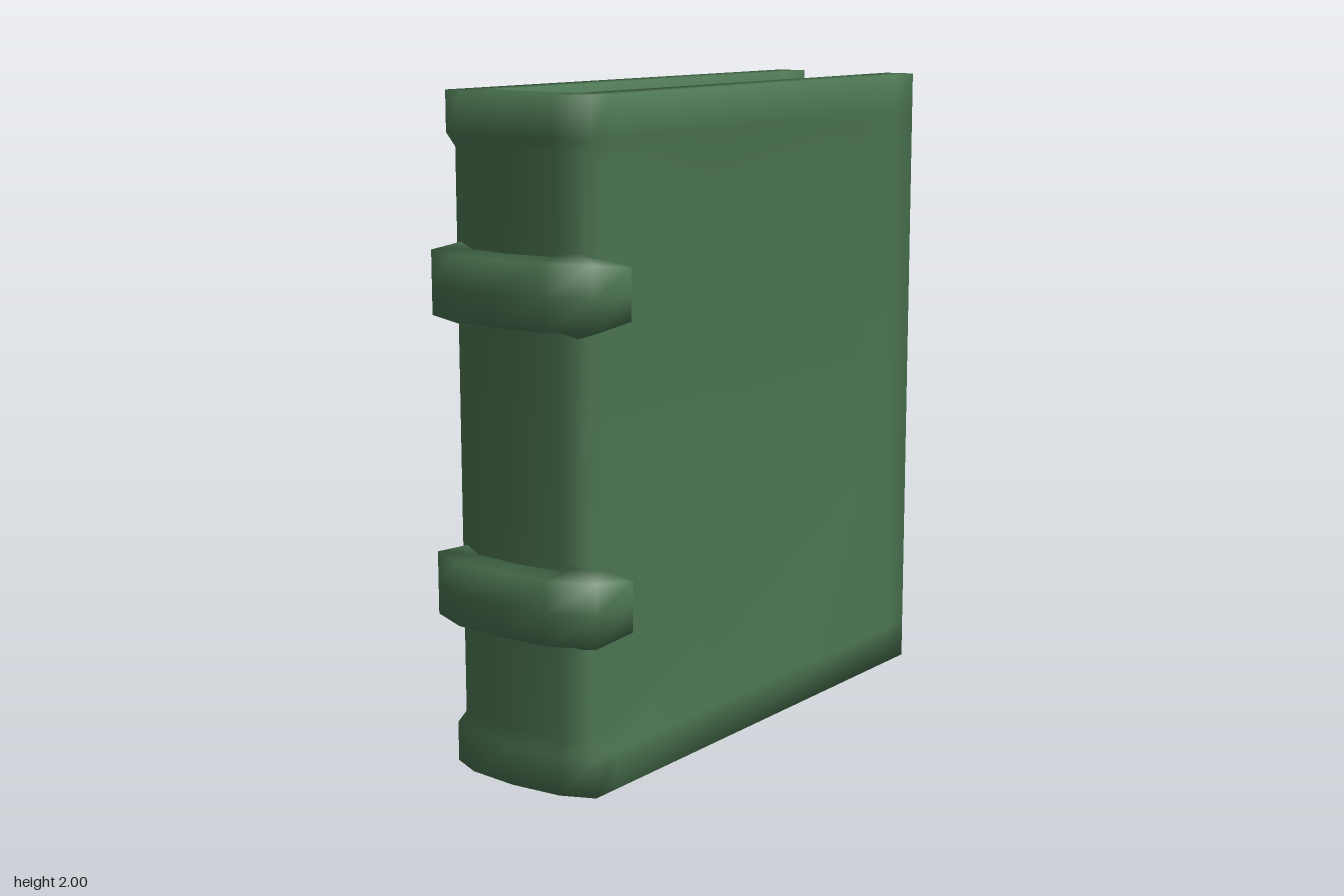
import * as THREE from 'three';

// Skin a row of closed rings; ends are closed by pairing ring points k and n-1-k.
function loft(rings) {
  const n = rings[0].length, last = (rings.length - 1) * n, index = [];
  for (let c = 0; c < rings.length - 1; c++) {
    for (let k = 0; k < n; k++) {
      const a = c * n + k, b = c * n + (k + 1) % n;
      index.push(a, b, a + n, b, b + n, a + n);
    }
  }
  for (let k = 0; k < Math.floor(n / 2); k++) {
    const p = k, q = k + 1, r = n - 1 - k, s = n - 2 - k;
    if (s < q) continue;
    index.push(p, r, q, last + p, last + q, last + r);
    if (s > q) index.push(q, r, s, last + q, last + s, last + r);
  }
  const g = new THREE.BufferGeometry();
  g.setAttribute('position', new THREE.Float32BufferAttribute(rings.flat(2), 3));
  g.setIndex(index);
  g.computeVertexNormals();
  return g;
}

// Continue half of the rings, ending at z = 0, round to the back.
function mirrorRings(half) {
  const back = half.slice(0, -1).reverse().map(r => r.map(([x, y, z]) => [x, y, -z]));
  return half.concat(back);
}

// Covers and spine in one U-shaped shell with dented faces and a lipped spine.
function coverGeometry() {
  // outer x, z | inner x, z | dent in x, z | height where the dent is reached
  const columns = [
    [0.895, 0.265, 0.895, 0.163, 0, 0, 0.6],
    [0.79, 0.265, 0.79, 0.163, 0, 0.013, 0.6],
    [0.62, 0.265, 0.62, 0.163, 0, 0.035, 0.63],
    [-0.2, 0.265, -0.2, 0.163, 0, 0.035, 0.36],
    [-0.7, 0.265, -0.65, 0.163, 0, 0.033, 0.19],
    [-0.795, 0.265, -0.72, 0.163, 0.005, 0.03, 0.16],
    [-0.84, 0.165, -0.72, 0.1, 0.028, 0.01, 0.16],
    [-0.855, 0, -0.72, 0, 0.035, 0, 0.16],
  ];
  return loft(mirrorRings(columns.map(([ox, oz, ix, iz, dx, dz, b]) => {
    const ys = [0, 0.12, b, 1, 2 - b, 1.88, 2];
    const outer = ys.map((y, i) => {
      const d = i > 1 && i < 5 ? 1 : 0;
      return [ox + dx * d, y, oz - dz * d];
    });
    const inner = ys.map(y => [ix, y, iz]).reverse();
    return [...outer, ...inner];
  })));
}

// Raised band wrapped round the spine.
function bandGeometry() {
  // outer x, z, half height | base x, z, half height
  const stations = [
    [-0.665, 0.28, 0.04, -0.655, 0.2, 0.05],
    [-0.69, 0.32, 0.075, -0.69, 0.2, 0.1],
    [-0.83, 0.3, 0.095, -0.79, 0.2, 0.125],
    [-0.89, 0.165, 0.095, -0.81, 0.14, 0.105],
    [-0.9, 0, 0.095, -0.8, 0, 0.105],
  ];
  return loft(mirrorRings(stations.map(([ox, oz, oh, bx, bz, bh]) => [
    [bx, -bh, bz], [ox, -oh, oz], [ox, 0, oz], [ox, oh, oz], [bx, bh, bz],
  ])));
}

// Page block, hollowed a little on its three open edges.
function pagesGeometry() {
  const w = 1.57, h = 1.83, t = 0.33;
  const g = new THREE.BoxGeometry(w, h, t, 1, 1, 6);
  const p = g.attributes.position;
  for (let i = 0; i < p.count; i++) {
    const dip = 0.018 * (1 - (2 * p.getZ(i) / t) ** 2);
    if (p.getX(i) > 0) p.setX(i, p.getX(i) - dip);
    p.setY(i, p.getY(i) - Math.sign(p.getY(i)) * dip);
  }
  g.computeVertexNormals();
  return g.translate(0.067, 1, 0);
}

export function createModel() {
  const green = new THREE.MeshStandardMaterial({ color: 0x4a7350 });
  green.name = 'green';
  const book = new THREE.Group();
  book.name = 'book';
  const add = (name, geometry, y = 0) => {
    const mesh = new THREE.Mesh(geometry, green);
    mesh.name = name;
    mesh.position.y = y;
    book.add(mesh);
  };

  add('cover', coverGeometry());
  add('pages', pagesGeometry());
  const band = bandGeometry();
  add('lowerSpineBand', band, 0.555);
  add('upperSpineBand', band, 1.45);
  return book;
}
